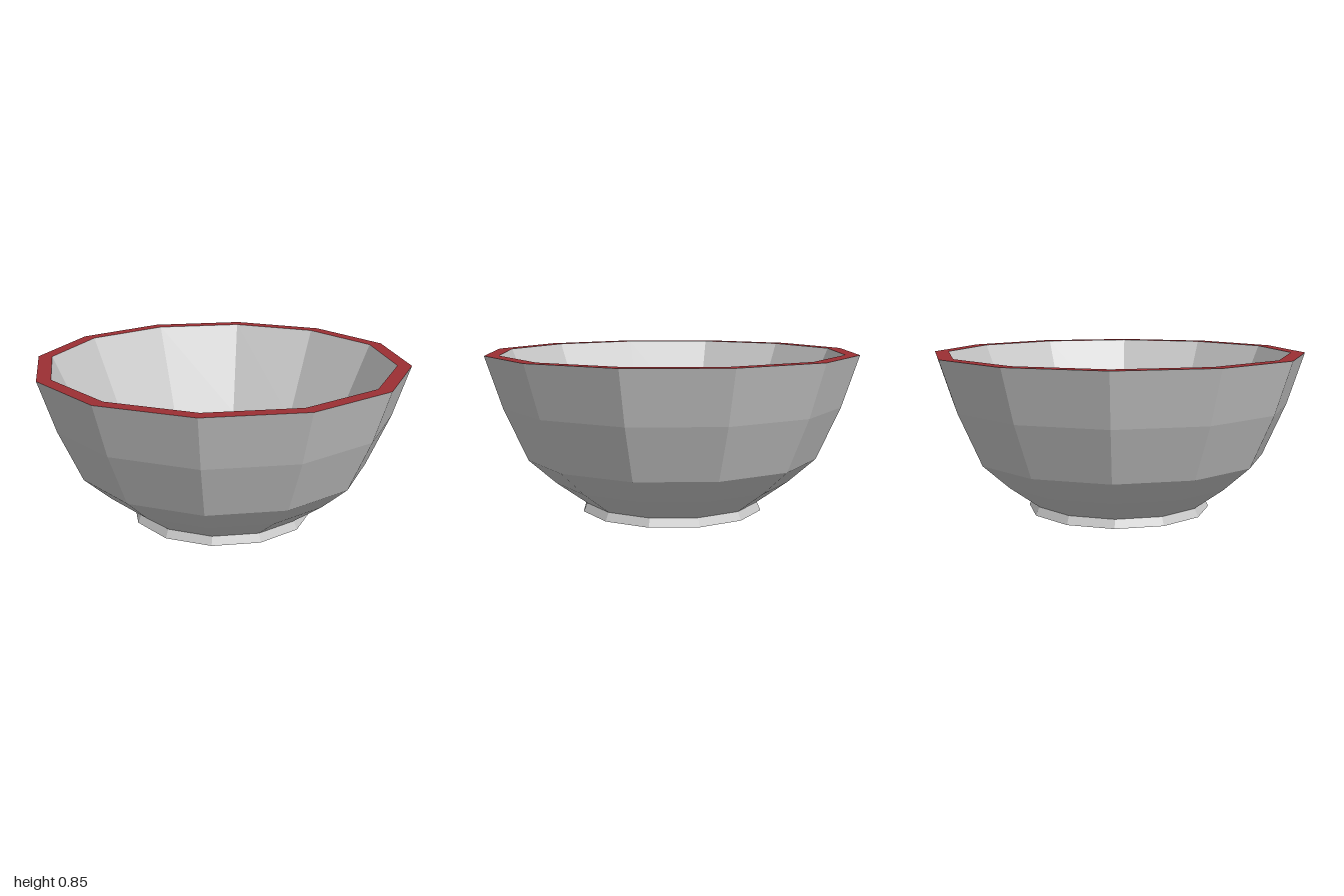
import * as THREE from 'three';

const SIDES = 12;

// Faceted ring surface from [radius, height] points; runs bottom to top on outward-facing sides
function turned(name, profile, color) {
  const points = profile.map(([r, y]) => new THREE.Vector2(r, y));
  const material = new THREE.MeshStandardMaterial({ color, flatShading: true });
  const mesh = new THREE.Mesh(new THREE.LatheGeometry(points, SIDES), material);
  mesh.name = name;
  return mesh;
}

export function createModel() {
  const bowl = new THREE.Group();
  bowl.name = 'bowl';
  bowl.add(
    // Flared foot with a closed underside
    turned('foot', [[0, 0], [0.495, 0], [0.475, 0.045]], 0xcccccc),
    // Outer wall
    turned('outerWall', [[0.475, 0.045], [0.64, 0.165], [0.785, 0.295], [0.91, 0.575], [1, 0.85]], 0xcccccc),
    // Flat coloured rim
    turned('rim', [[1, 0.85], [0.925, 0.85]], 0x9c2f33),
    // Hollow inside, from the rim down to the floor
    turned('innerWall', [[0.925, 0.85], [0.7, 0.345], [0.487, 0.165], [0.235, 0.08], [0, 0.08]], 0xcccccc),
  );
  return bowl;
}
